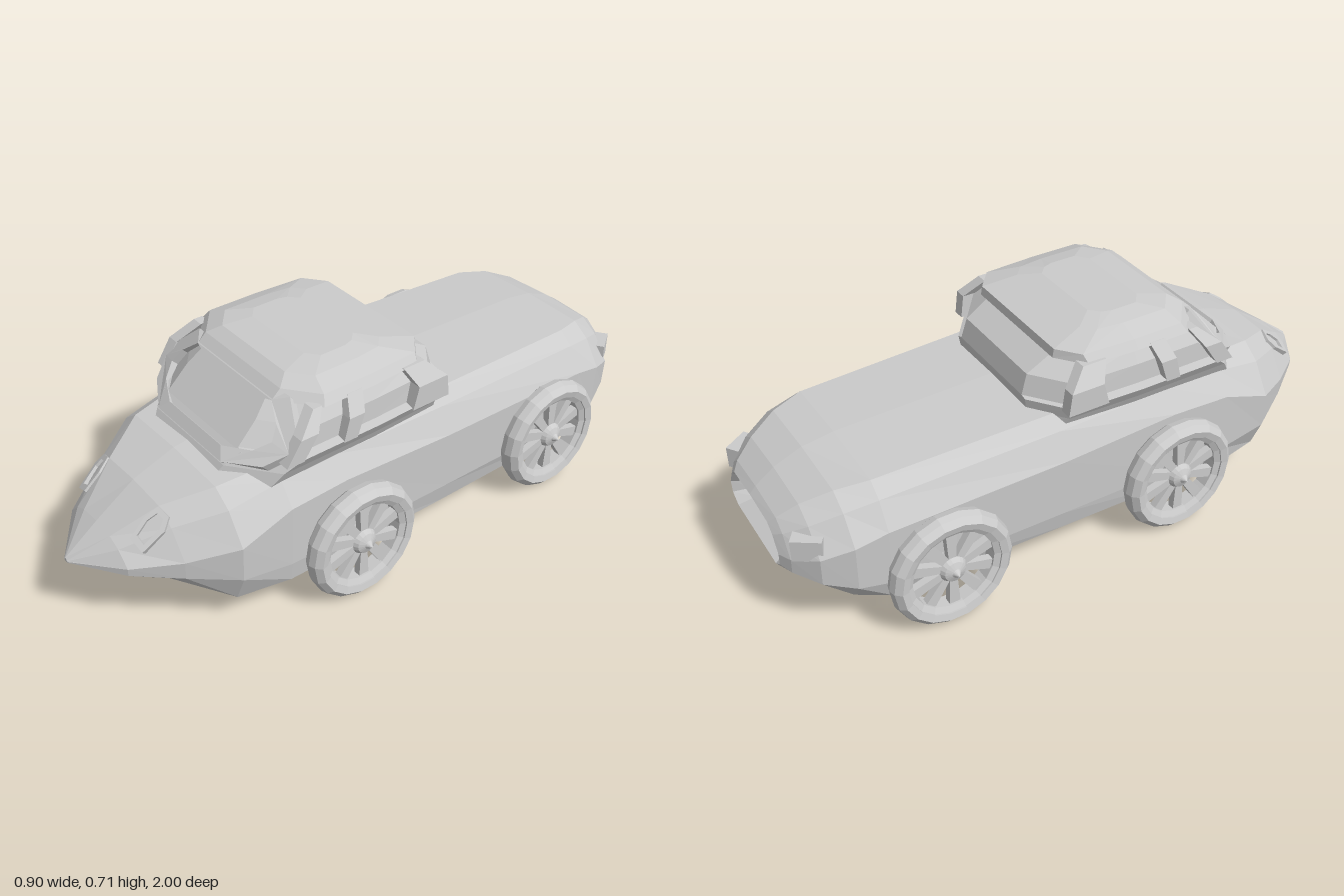
import * as THREE from 'three';

const material = new THREE.MeshStandardMaterial({ color: 0xcccccc, flatShading: true, side: THREE.DoubleSide });

function addMesh(parent, name, geometry) {
  const mesh = new THREE.Mesh(geometry, material);
  mesh.name = name;
  parent.add(mesh);
  return mesh;
}

// Skin a series of equal-length closed rings and cap both ends
function loft(rings) {
  const pos = [];
  const tri = (...pts) => pts.forEach(p => pos.push(...p));
  const n = rings[0].length;
  for (let i = 0; i < rings.length - 1; i++) {
    for (let j = 0; j < n; j++) {
      const k = (j + 1) % n;
      const a = rings[i][j], b = rings[i][k], c = rings[i + 1][k], d = rings[i + 1][j];
      tri(a, b, c);
      tri(a, c, d);
    }
  }
  const middle = r => [0, 1, 2].map(q => r.reduce((s, p) => s + p[q], 0) / n);
  const first = rings[0], last = rings[rings.length - 1];
  for (let j = 0; j < n; j++) {
    const k = (j + 1) % n;
    tri(middle(first), first[k], first[j]);
    tri(middle(last), last[j], last[k]);
  }
  const g = new THREE.BufferGeometry();
  g.setAttribute('position', new THREE.Float32BufferAttribute(pos, 3));
  g.computeVertexNormals();
  return g;
}

// Flat plate with optional holes
function plate(outline, holes, depth) {
  const vectors = pts => pts.map(p => new THREE.Vector2(...p));
  const shape = new THREE.Shape(vectors(outline));
  holes.forEach(h => shape.holes.push(new THREE.Path(vectors(h))));
  return new THREE.ExtrudeGeometry(shape, { depth, bevelEnabled: false });
}

// Hull ring from bottom edge, chine height, waist and deck edge; the shoulder follows by proportion
function hullRing([z, wb, yb, yc, w, ym, wt, yt]) {
  const half = [
    [wb, yb], [w * 0.985, yc], [w, ym],
    [(w + wt) / 2, ym + 0.68 * (yt - ym)], [wt, yt],
  ];
  return [
    [0, yb, z], ...half.map(([x, y]) => [x, y, z]),
    [0, yt + 0.008, z], ...half.reverse().map(([x, y]) => [-x, y, z]),
  ];
}

// The first two rings sink a panel into the tail
function buildHull() {
  return loft([
    [-0.95, 0.13, 0.25, 0.265, 0.16, 0.29, 0.12, 0.335],
    [-1.0, 0.15, 0.225, 0.25, 0.19, 0.29, 0.13, 0.365],
    [-0.98, 0.18, 0.215, 0.24, 0.23, 0.29, 0.15, 0.387],
    [-0.92, 0.24, 0.185, 0.22, 0.3, 0.31, 0.18, 0.43],
    [-0.83, 0.29, 0.13, 0.19, 0.34, 0.34, 0.22, 0.467],
    [-0.73, 0.32, 0.103, 0.17, 0.347, 0.36, 0.25, 0.482],
    [-0.15, 0.33, 0.103, 0.17, 0.35, 0.37, 0.27, 0.498],
    [0.25, 0.335, 0.103, 0.17, 0.35, 0.39, 0.26, 0.492],
    [0.45, 0.335, 0.103, 0.17, 0.35, 0.38, 0.25, 0.486],
    [0.62, 0.3, 0.103, 0.2, 0.347, 0.32, 0.22, 0.465],
    [0.76, 0.16, 0.155, 0.225, 0.262, 0.285, 0.14, 0.415],
    [0.89, 0.07, 0.205, 0.24, 0.165, 0.265, 0.075, 0.328],
    [1.0, 0.005, 0.241, 0.242, 0.01, 0.245, 0.005, 0.247],
  ].map(hullRing));
}

// Cabin ring at one height: half width, front z, rear z, corner cuts at each end
function cabinRing([y, w, front, rear, cutFront, cutRear]) {
  const half = [
    [w - cutFront, front], [w, front - cutFront * 0.8],
    [w, 0.12], [w - 0.01, rear + cutRear * 0.7], [w - cutRear, rear],
  ];
  return [...half.map(([x, z]) => [x, y, z]), ...half.reverse().map(([x, z]) => [-x, y, z])];
}

// Sill, sunken window band and overhanging roof in one shell
function buildCabin() {
  return loft([
    [0.44, 0.295, 0.6, -0.2, 0.14, 0.1],
    [0.49, 0.32, 0.565, -0.2, 0.14, 0.12],
    [0.53, 0.345, 0.52, -0.205, 0.14, 0.14],
    [0.535, 0.315, 0.515, -0.205, 0.13, 0.13],
    [0.6, 0.312, 0.45, -0.185, 0.13, 0.13],
    [0.645, 0.287, 0.405, -0.11, 0.12, 0.1],
    [0.65, 0.312, 0.4, -0.115, 0.12, 0.1],
    [0.678, 0.292, 0.37, -0.11, 0.1, 0.08],
    [0.702, 0.23, 0.33, 0, 0.07, 0.05],
    [0.714, 0.17, 0.24, 0.06, 0.04, 0.04],
  ].map(cabinRing));
}

// Window pillar given its front and rear z at the sill, the belt and the roof
function buildPillar(spans) {
  const belt = [[0.525, 0.345], [0.6, 0.346], [0.657, 0.308]];
  return loft(belt.map(([y, x], i) => {
    const [front, rear] = spans[i];
    return [[x, y, front], [x, y, rear], [x - 0.04, y, rear], [x - 0.04, y, front]];
  }));
}

// Wide rounded outline, slightly narrower at the bottom
const screenOutline = (w, h) => {
  const right = [[0.52 * w, -h], [0.87 * w, -0.55 * h], [w, 0], [0.93 * w, 0.5 * h], [0.72 * w, h]];
  return [...right, ...right.map(([x, y]) => [-x, y]).reverse()];
};

// Windscreen surround, wrapped back towards the sides
function buildScreen() {
  const g = plate(screenOutline(0.325, 0.132), [screenOutline(0.265, 0.095)], 0.05);
  const p = g.attributes.position;
  for (let i = 0; i < p.count; i++) p.setZ(i, p.getZ(i) - 0.035 - 0.6 * p.getX(i) ** 2);
  g.computeVertexNormals();
  return g;
}

// Wheel with its axis along y, outer face towards +y
function buildWheel(name) {
  const wheel = new THREE.Group();
  wheel.name = name;
  const ring = pts => new THREE.LatheGeometry(pts.map(p => new THREE.Vector2(...p)), 18);
  addMesh(wheel, 'tyre', ring([[0.15, -0.034], [0.172, -0.039], [0.19, -0.022], [0.196, 0],
    [0.19, 0.022], [0.172, 0.039], [0.15, 0.034], [0.15, -0.034]]));
  addMesh(wheel, 'rim', ring([[0.132, -0.025], [0.152, -0.03], [0.152, 0.03], [0.132, 0.02], [0.132, -0.025]]));
  addMesh(wheel, 'hub', ring([[0, -0.025], [0.04, -0.025], [0.044, 0.012], [0.034, 0.028], [0.014, 0.036], [0, 0.054]]));
  for (let i = 0; i < 10; i++) {
    const spoke = addMesh(wheel, 'spoke', plate([[0.03, -0.012], [0.138, -0.018], [0.138, 0.018], [0.03, 0.012]], [], 0.024));
    spoke.rotation.set(-Math.PI / 2, 0, i * Math.PI / 5);
    spoke.position.y = -0.01;
  }
  return wheel;
}

export function createModel() {
  const car = new THREE.Group();
  car.name = 'car';
  addMesh(car, 'hull', buildHull());
  addMesh(car, 'cabin', buildCabin());

  const screen = addMesh(car, 'windscreenFrame', buildScreen());
  screen.position.set(0, 0.59, 0.473);
  screen.rotation.x = -0.8;

  for (const side of [1, -1]) {
    const label = side > 0 ? 'left' : 'right';
    const pillars = {
      FrontPillar: [[0.46, 0.4], [0.41, 0.35], [0.34, 0.31]],
      MiddlePillar: [[0.26, 0.21], [0.24, 0.185], [0.22, 0.165]],
      RearPillar: [[0, -0.14], [-0.02, -0.13], [0.01, -0.07]],
    };
    for (const [part, spans] of Object.entries(pillars)) {
      addMesh(car, label + part, buildPillar(spans)).scale.x = side;
    }

    // Headlight surround set into the bonnet
    const lamp = addMesh(car, label + 'Headlight', plate(
      [[-0.03, -0.06], [0.025, -0.07], [0.04, 0.015], [0.025, 0.055], [-0.02, 0.06], [-0.035, 0.01]],
      [[[-0.02, -0.042], [0.014, -0.05], [0.024, 0.012], [0.015, 0.04], [-0.01, 0.042], [-0.022, 0.008]]], 0.03));
    lamp.scale.x = side;
    lamp.position.set(side * 0.15, 0.352, 0.785);
    lamp.rotation.set(-0.85, side * 0.4, 0);

    // Tail lamp on the rear corner
    const tail = addMesh(car, label + 'TailLamp', new THREE.BoxGeometry(0.09, 0.07, 0.09));
    tail.position.set(side * 0.235, 0.335, -0.92);
    tail.rotation.y = side * 0.6;
  }

  // Wheels and their stub axles: name, side, offset from centre, z
  for (const [name, side, x, z] of [
    ['frontLeft', 1, 0.403, 0.24], ['frontRight', -1, 0.394, 0.235],
    ['rearLeft', 1, 0.368, -0.58], ['rearRight', -1, 0.394, -0.57],
  ]) {
    const wheel = buildWheel(name + 'Wheel');
    wheel.position.set(side * x, 0.196, z);
    wheel.rotation.z = -side * Math.PI / 2;
    car.add(wheel);
    const axle = addMesh(car, name + 'Axle', new THREE.CylinderGeometry(0.014, 0.014, 0.12, 8));
    axle.position.set(side * (x - 0.06), 0.196, z);
    axle.rotation.z = Math.PI / 2;
  }
  return car;
}
